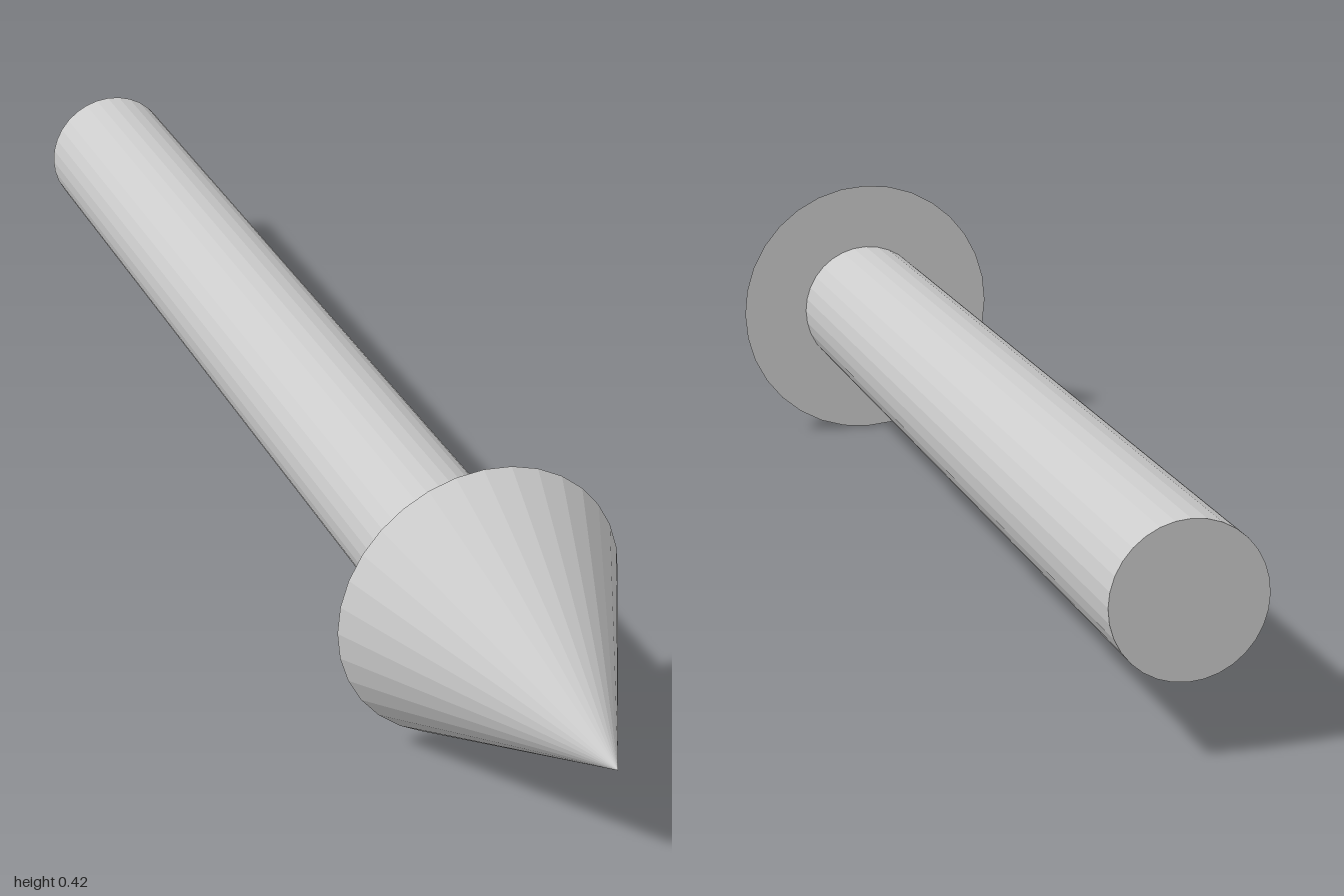
import * as THREE from 'three';

const SIDES = 32;
const HEAD_RADIUS = 0.208;
const SHAFT_RADIUS = 0.104;
const HEAD_BASE_Z = 0.585;

export function createModel() {
  const group = new THREE.Group();
  group.name = 'arrow';
  const material = new THREE.MeshStandardMaterial({ color: 0xcccccc, flatShading: true });

  // Faceted round part lying along z, from zBack to zFront
  function addRod(name, frontRadius, backRadius, zBack, zFront) {
    const geometry = new THREE.CylinderGeometry(frontRadius, backRadius, zFront - zBack, SIDES);
    geometry.rotateX(Math.PI / 2);
    const mesh = new THREE.Mesh(geometry, material);
    mesh.name = name;
    mesh.position.set(0, HEAD_RADIUS, (zBack + zFront) / 2);
    group.add(mesh);
  }

  // Straight shaft with a flat rear end
  addRod('shaft', SHAFT_RADIUS, SHAFT_RADIUS, -1, HEAD_BASE_Z);
  // Pointed head with a flat back
  addRod('arrowHead', 0, HEAD_RADIUS, HEAD_BASE_Z, 1);

  return group;
}
